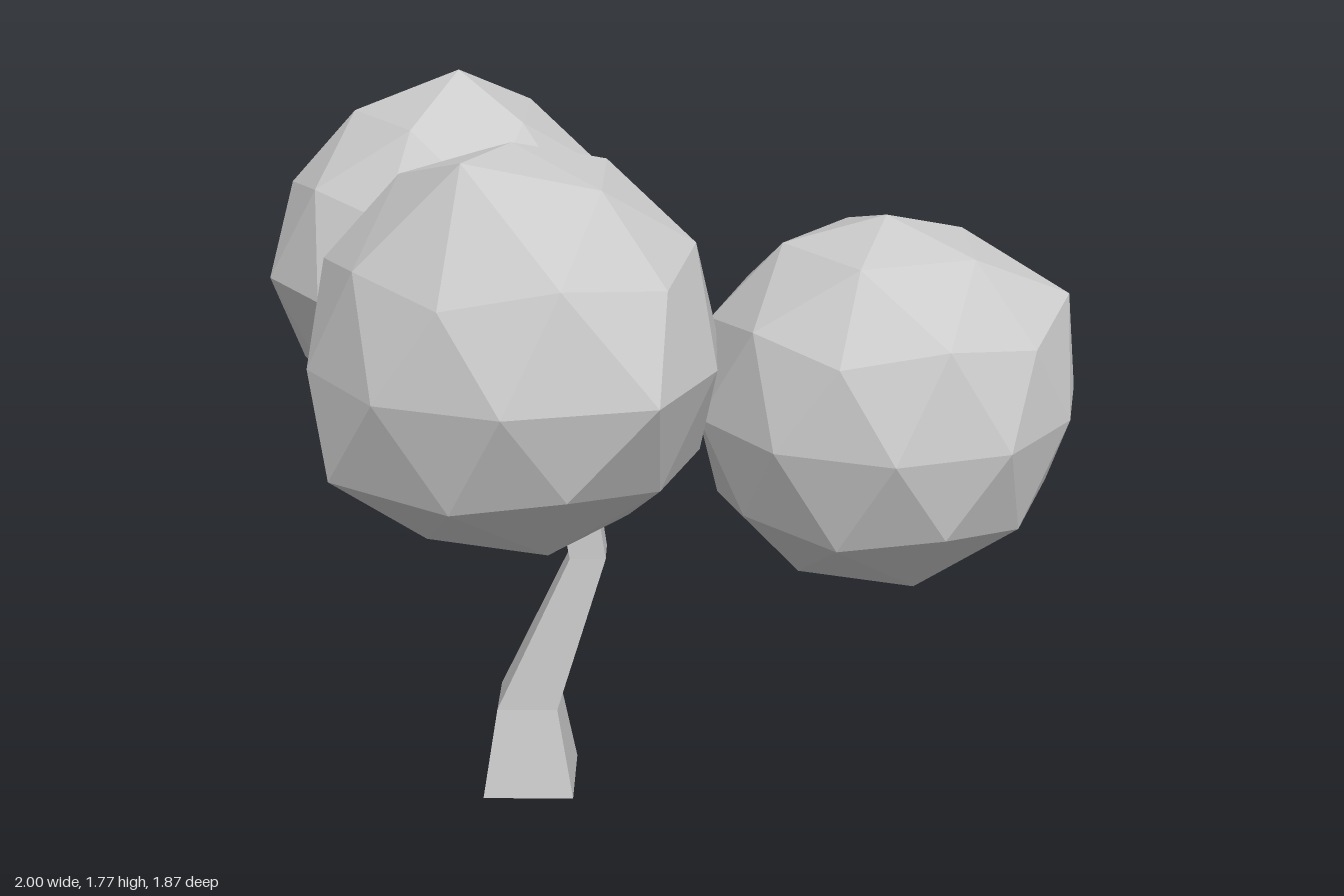
import * as THREE from 'three';

const material = new THREE.MeshStandardMaterial({ color: 0xcccccc, flatShading: true });
const UP = new THREE.Vector3(0, 1, 0);

function addMesh(group, name, geometry) {
  geometry.computeVertexNormals();
  const mesh = new THREE.Mesh(geometry, material);
  mesh.name = name;
  group.add(mesh);
}

// Square limb through rings of [x, y, z, halfWidth]; u x v points along the limb
function limbGeometry(rings, u, v) {
  const pos = [];
  const index = [];
  const corners = [[-1, -1], [1, -1], [1, 1], [-1, 1]];
  for (const [x, y, z, h] of rings) {
    for (const [a, b] of corners) {
      const p = new THREE.Vector3(x, y, z).addScaledVector(u, a * h).addScaledVector(v, b * h);
      pos.push(p.x, p.y, p.z);
    }
  }
  for (let r = 0; r < rings.length - 1; r++) {
    for (let i = 0; i < 4; i++) {
      const a = r * 4 + i;
      const b = r * 4 + (i + 1) % 4;
      index.push(a, b, b + 4, a, b + 4, a + 4);
    }
  }
  const e = (rings.length - 1) * 4;
  index.push(0, 2, 1, 0, 3, 2, e, e + 1, e + 2, e, e + 2, e + 3);
  const g = new THREE.BufferGeometry();
  g.setAttribute('position', new THREE.Float32BufferAttribute(pos, 3));
  g.setIndex(index);
  return g.toNonIndexed();
}

// Faceted ball standing on a corner; the corner nearest each pull point moves onto it
function crownGeometry(center, radius, pulls) {
  const g = new THREE.IcosahedronGeometry(radius, 1);
  g.rotateZ(Math.atan(2 / (1 + Math.sqrt(5))));
  g.translate(...center);
  const p = g.attributes.position;
  const points = Array.from({ length: p.count }, (_, i) => new THREE.Vector3().fromBufferAttribute(p, i));
  for (const pull of pulls) {
    const target = new THREE.Vector3(...pull);
    const nearest = points.reduce((a, b) => (b.distanceTo(target) < a.distanceTo(target) ? b : a));
    points.forEach((q, i) => {
      if (q.distanceTo(nearest) < 0.01) p.setXYZ(i, ...pull);
    });
  }
  return g;
}

export function createModel() {
  const tree = new THREE.Group();
  tree.name = 'tree';

  // Crooked trunk
  addMesh(tree, 'trunk', limbGeometry([
    [-0.348, 0, 0.008, 0.113],
    [-0.348, 0.23, 0.008, 0.075],
    [-0.193, 0.63, 0.012, 0.044],
    [-0.234, 0.89, 0, 0.048],
    [-0.23, 1.1, -0.01, 0.075],
  ], new THREE.Vector3(0, 0, 1), new THREE.Vector3(1, 0, 0)));

  // Branches fanning out from the top of the trunk
  const hub = new THREE.Vector3(-0.22, 1.05, -0.01);
  const branches = {
    leftBranch: [0.16, 1.04, 0.005],
    backBranch: [-0.4, 1.1, -0.24],
    frontBranch: [-0.29, 1.1, 0.24],
  };
  for (const [name, end] of Object.entries(branches)) {
    const dir = new THREE.Vector3(...end).sub(hub).setY(0).normalize();
    const start = hub.clone().addScaledVector(dir, 0.07);
    addMesh(tree, name, limbGeometry([
      [...hub, 0.075],
      [...start, 0.075],
      [...end, 0.045],
    ], new THREE.Vector3().crossVectors(UP, dir), UP));
  }

  // Foliage balls with a few corners pulled out of round
  const R = 0.455;
  addMesh(tree, 'backCrown', crownGeometry([-0.55, 1.235, -0.485], R, [
    [-0.524, 1.727, -0.476], [-1, 1.23, -0.326], [-0.952, 0.968, -0.485], [-0.845, 1.235, -0.1],
  ]));
  addMesh(tree, 'frontCrown', crownGeometry([-0.32, 1.31, 0.475], R, [
    [-0.405, 1.775, 0.703], [-0.706, 1.09, 0.706], [-0.005, 1.31, 0.86], [0.077, 1.08, 0.475],
  ]));
  addMesh(tree, 'leftCrown', crownGeometry([0.51, 1.035, 0.02], R, [
    [0.325, 1.265, -0.417], [0.94, 1.31, 0.05], [0.998, 1.02, -0.13], [0.476, 1.02, -0.497],
  ]));
  return tree;
}
